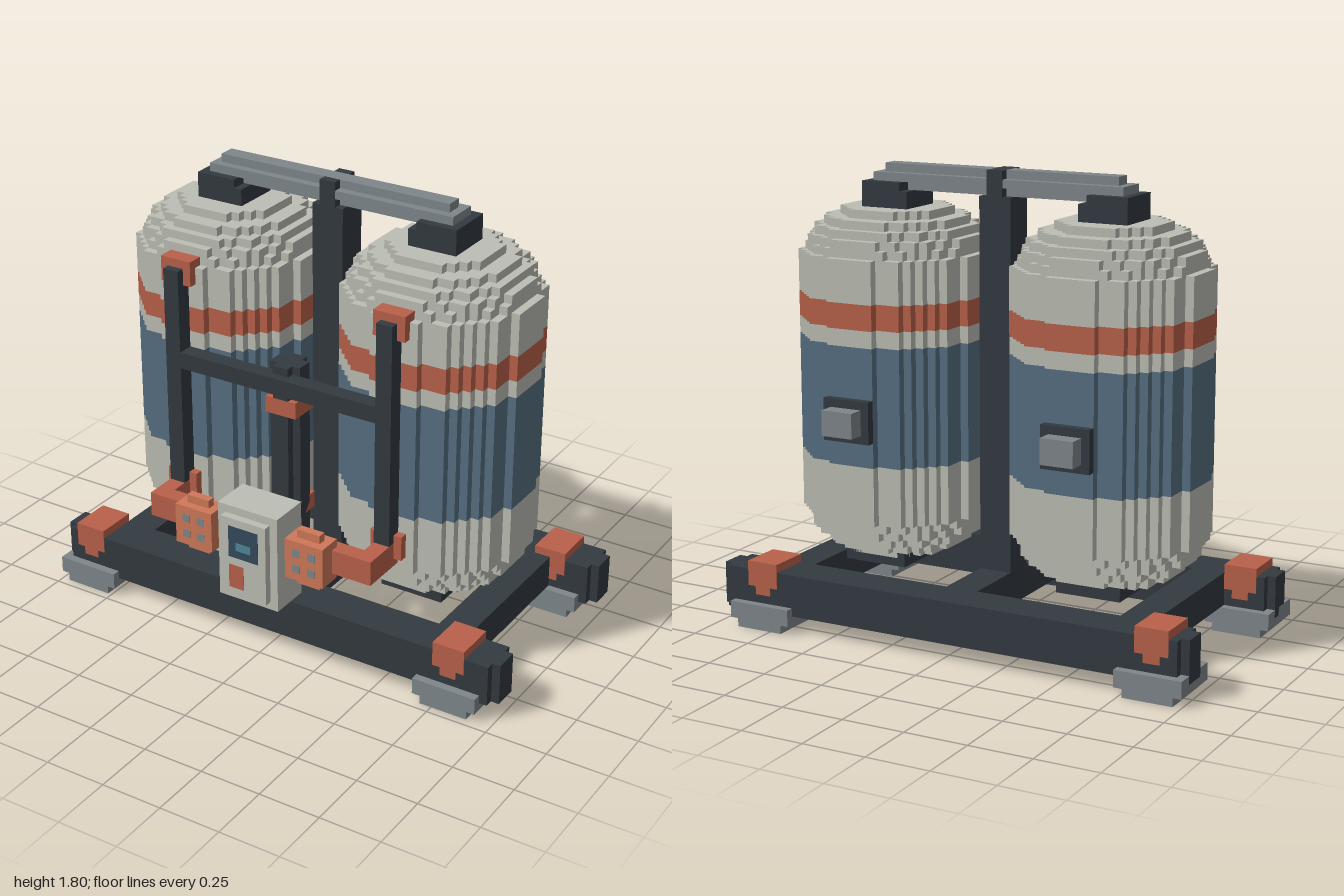
import * as THREE from 'three';

const U = 1 / 30; // one block of the grid

const mat = (color) => new THREE.MeshStandardMaterial({ color, flatShading: true });
const cream = mat(0xbcbfb5), orange = mat(0xb9614a), amber = mat(0xcf7858), blue = mat(0x566f82),
  dark = mat(0x333a40), grey = mat(0x7f878b), screenBlue = mat(0x34495c), teal = mat(0x4f8797);

// Box given by its limits in blocks
function box(parent, name, material, x0, x1, y0, y1, z0, z1) {
  const g = new THREE.BoxGeometry((x1 - x0) * U, (y1 - y0) * U, (z1 - z0) * U);
  const m = new THREE.Mesh(g, material);
  m.name = name;
  m.position.set((x0 + x1) * U / 2, (y0 + y1) * U / 2, (z0 + z1) * U / 2);
  parent.add(m);
  return m;
}

// Box mirrored to both sides of x = 0
function pair(parent, name, material, x0, x1, ...rest) {
  box(parent, name + 'Left', material, x0, x1, ...rest);
  box(parent, name + 'Right', material, -x1, -x0, ...rest);
}

// Upright post with notched corners
function post(parent, name, material, r, y0, y1, zc) {
  box(parent, name, material, -r, r, y0, y1, zc - r + 1, zc + r - 1);
  box(parent, name, material, -r + 1, r - 1, y0, y1, zc - r, zc + r);
}

// Disc with a stair-stepped outline, r blocks in radius
function disc(parent, name, material, r, y0, y1) {
  const right = [], n = Math.round(r);
  for (let k = -n; k < n; k++) {
    const w = Math.round(Math.sqrt(r * r - (k + 0.5) ** 2));
    right.push([w, k], [w, k + 1]);
  }
  const outline = [...right, ...right.map(([x, z]) => [-x, z]).reverse()];
  const shape = new THREE.Shape(outline.map(([x, z]) => new THREE.Vector2(x * U, z * U)));
  const g = new THREE.ExtrudeGeometry(shape, { depth: (y1 - y0) * U, bevelEnabled: false });
  g.rotateX(-Math.PI / 2);
  const m = new THREE.Mesh(g, material);
  m.name = name;
  m.position.y = y0 * U;
  parent.add(m);
}

function makeTank(name, x) {
  const tank = new THREE.Group();
  tank.name = name;
  // stepped domes, top and bottom
  [6.1, 8, 9.3, 10.1, 10.4].forEach((r, i) => {
    disc(tank, 'bottomDome', cream, r, 8 + i, 9 + i);
    disc(tank, 'topDome', cream, r, 48 - i, 49 - i);
  });
  // coloured bands of the shell
  [[cream, 13, 20], [blue, 20, 34], [cream, 34, 36], [orange, 36, 39], [cream, 39, 44]]
    .forEach(([m, y0, y1]) => disc(tank, 'shellBand', m, 11, y0, y1));
  tank.position.set(x * U, 0, -2 * U);
  return tank;
}

export function createModel() {
  const model = new THREE.Group();
  const group = (name) => {
    const g = new THREE.Group();
    g.name = name;
    model.add(g);
    return g;
  };

  // Base frame
  const base = group('baseFrame');
  for (const [side, z0] of [['front', 8], ['back', -17]]) {
    box(base, side + 'Rail', dark, -29, 29, 2, 7, z0, z0 + 5);
    pair(base, side + 'RailEnd', dark, 29, 30, 2, 7, z0 + 1, z0 + 4);
    for (const x of [-30, 20]) {
      box(base, side + 'FootPad', grey, x, x + 8, 1, 3, z0 - 1, z0 + 6);
      box(base, side + 'FootSole', grey, x + 1, x + 7, 0, 1, z0 - 1, z0 + 6);
      // clamp over the rail, a hair proud of it
      box(base, side + 'Clamp', orange, x + 2, x + 6, 5, 8, z0 - 0.08, z0 + 5.08);
      box(base, side + 'ClampTip', orange, x + 3, x + 5, 4, 5, z0 - 0.08, z0 + 5.08);
    }
  }
  pair(base, 'sideBar', dark, 20, 24, 3, 7, -12, 8);
  box(base, 'middleBar', dark, -2, 2, 3, 7, -12, 8);

  // Tanks with pedestals, top mounts and rear ports
  model.add(makeTank('leftTank', 14), makeTank('rightTank', -14));
  const fittings = group('tankFittings');
  pair(fittings, 'pedestal', dark, 10, 18, 7, 9, -8, 4);
  pair(fittings, 'topMount', dark, 12, 17, 49, 52, -5, 1);
  pair(fittings, 'topMountStep', dark, 11, 12, 49, 51, -5, 1);
  pair(fittings, 'portFlange', dark, 11, 17, 23, 28, -14, -13);
  pair(fittings, 'portPlug', grey, 12, 16, 24, 27, -16, -14);

  // Mast and overhead beam
  const mast = group('mast');
  box(mast, 'mastPost', dark, -2, 2, 7, 51, -4, 0);
  box(mast, 'mastStrap', dark, -1, 1, 51, 54, -4.08, 0.08);
  box(mast, 'beamUnderside', grey, -15, 15, 51, 52, -3, -1);
  box(mast, 'beamBody', grey, -16, 16, 52, 53, -4, 0);
  box(mast, 'beamTop', grey, -15, 15, 53, 54, -3, -1);

  // Central pipe and cross pipe
  const piping = group('piping');
  post(piping, 'centralPipe', dark, 2, 7, 29, 8);
  box(piping, 'lowerCollar', orange, -2, 2, 16, 18, 6, 10);
  box(piping, 'upperCollar', orange, -2, 2, 29, 31, 6, 10);
  post(piping, 'junction', dark, 2, 31, 35, 8);
  box(piping, 'crossPipe', dark, -13, 13, 32, 34, 9, 11);

  // Risers, elbows and outlet pipes
  pair(piping, 'riser', dark, 13, 15, 17, 44, 9, 11);
  pair(piping, 'upperElbow', orange, 12, 16, 42, 45, 8, 10);
  pair(piping, 'lowerElbow', orange, 12, 16, 15, 18, 8, 10);
  pair(piping, 'outletArm', orange, 13, 15, 14, 17, 9, 15);
  pair(piping, 'outletPipe', orange, 4, 13, 14, 17, 13, 15);

  // Valves with four bolts each
  const valves = group('valves');
  pair(valves, 'valveBody', amber, 5, 10, 13, 18, 14, 17);
  pair(valves, 'valveRim', amber, 6, 9, 12, 19, 15, 16);
  for (const x of [6, 8]) for (const y of [14, 16]) {
    pair(valves, 'valveBolt', grey, x, x + 1, y, y + 1, 16.5, 17.06);
  }

  // Control cabinet
  const cabinet = group('controlCabinet');
  box(cabinet, 'cabinetBody', cream, -4, 4, 8, 20, 12, 17);
  box(cabinet, 'cabinetDoor', cream, -3, 3, 9, 19, 17, 17.92);
  box(cabinet, 'screen', screenBlue, -2, 2, 14, 18, 17, 17.96);
  box(cabinet, 'screenReadout', teal, -1, 1, 15, 16, 17, 18);
  box(cabinet, 'switch', orange, -2, 0, 10, 13, 17, 17.96);

  return model;
}
